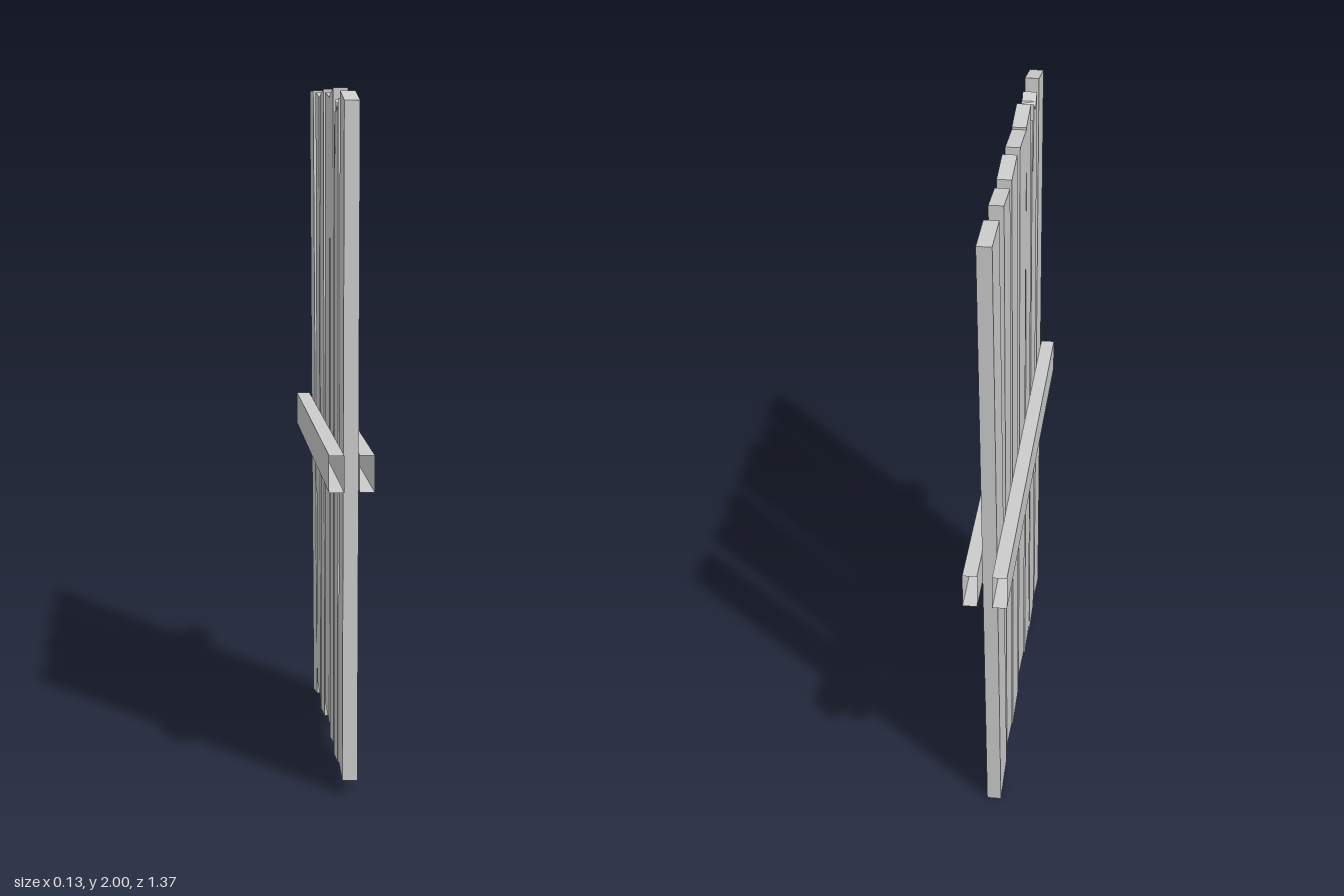
import * as THREE from 'three';

const THICK = 0.043;
const RAIL = { width: 0.042, height: 0.104, length: 1.366, y: 0.935 };

// Outlines as [z, y] corners, starting at the bottom
const PLANKS = [
  [[0.625, 0.04], [0.493, 0.06], [0.535, 1.985], [0.673, 1.957]],
  // split plank with a splintered top
  [[0.466, 0.045], [0.334, 0.03], [0.345, 1.93], [0.37, 1.70], [0.389, 1.962],
    [0.412, 1.945], [0.43, 1.945], [0.452, 1.945], [0.477, 1.965]],
  [[0.323, 0.06], [0.2, 0.04], [0.18, 1.977], [0.307, 1.997]],
  [[0.16, 0.075], [0, 0.095], [0.016, 1.987], [0.18, 1.97]],
  [[-0.02, 0.043], [-0.16, 0.027], [-0.19, 1.982], [-0.058, 1.998]],
  [[-0.187, 0.053], [-0.33, 0.073], [-0.376, 1.992], [-0.234, 1.977]],
  [[-0.34, 0.027], [-0.497, 0], [-0.637, 2], [-0.482, 2]],
];

function plankGeometry(outline) {
  const shape = new THREE.Shape(outline.map(([z, y]) => new THREE.Vector2(-z, y)));
  const geo = new THREE.ExtrudeGeometry(shape, { depth: THICK, bevelEnabled: false });
  return geo.translate(0, 0, -THICK / 2).rotateY(Math.PI / 2);
}

// Chip out the -x edge of the splintered top
function chipTop(geo) {
  const p = geo.attributes.position;
  for (let i = 0; i < p.count; i++) {
    if (p.getX(i) < 0 && Math.abs(p.getZ(i) - 0.43) < 0.005) p.setY(i, 1.928);
  }
  geo.computeVertexNormals();
}

export function createModel() {
  const group = new THREE.Group();
  const wood = new THREE.MeshStandardMaterial({ color: 0xcccccc, flatShading: true });
  const openWood = wood.clone();
  openWood.side = THREE.DoubleSide;

  // Upright planks
  PLANKS.forEach((outline, i) => {
    const geo = plankGeometry(outline);
    const split = outline.length > 4;
    if (split) chipTop(geo);
    const plank = new THREE.Mesh(geo, wood);
    plank.name = split ? 'splitPlank' : `plank${i + 1}`;
    group.add(plank);
  });

  // Cross rails on both faces, open at their two ends
  for (const side of [-1, 1]) {
    const geo = new THREE.BoxGeometry(RAIL.width, RAIL.height, RAIL.length);
    geo.setIndex(Array.from(geo.index.array).slice(0, 24));
    geo.clearGroups();
    const rail = new THREE.Mesh(geo, openWood);
    rail.position.set(side * (THICK + RAIL.width) / 2, RAIL.y, 0);
    rail.name = side > 0 ? 'leftRail' : 'rightRail';
    group.add(rail);
  }
  return group;
}
